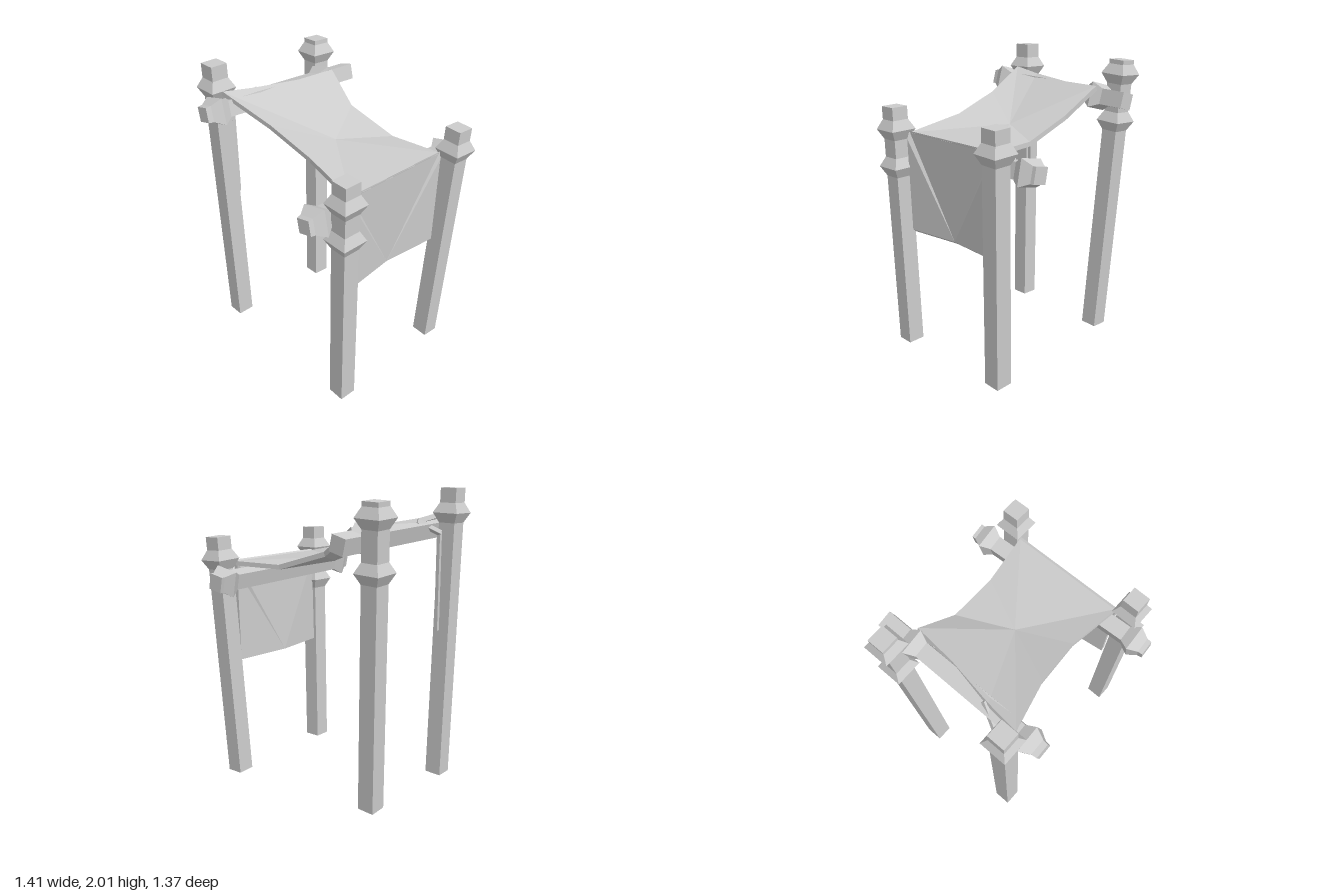
import * as THREE from 'three';

const V = (x, y, z) => new THREE.Vector3(x, y, z);
const material = new THREE.MeshStandardMaterial({ color: 0xcccccc, flatShading: true });

// Square bar from a to b with pyramid-like collars at given distances along it
function bar(name, a, b, half, collars, { ridge = 0.09, reach = 0.065, tip = half, roll = 0 } = {}) {
  const dir = b.clone().sub(a);
  const length = dir.length();
  const profile = [[0, 0], [half, 0]];
  for (const d of collars) profile.push([half, d - reach], [ridge, d], [half, d + reach]);
  profile.push([tip, length], [0, length]);
  const points = profile.map(([h, y]) => new THREE.Vector2(h * Math.SQRT2, y));
  const mesh = new THREE.Mesh(new THREE.LatheGeometry(points, 4, Math.PI / 4 + roll), material);
  mesh.name = name;
  mesh.position.copy(a);
  mesh.quaternion.setFromUnitVectors(V(0, 1, 0), dir.normalize());
  return mesh;
}

// Thick sheet: fan from a hub to an outline, copied by an offset and closed at the rim
function sheet(name, outline, hub, offset) {
  const pos = [];
  const tri = (...corners) => corners.forEach((p) => pos.push(p.x, p.y, p.z));
  const low = (p) => p.clone().add(offset);
  outline.forEach((a, i) => {
    const b = outline[(i + 1) % outline.length];
    if (a !== hub && b !== hub) {
      tri(hub, a, b);
      tri(low(hub), low(b), low(a));
    }
    tri(a, low(a), low(b));
    tri(a, low(b), b);
  });
  const geometry = new THREE.BufferGeometry();
  geometry.setAttribute('position', new THREE.Float32BufferAttribute(pos, 3));
  geometry.computeVertexNormals();
  const mesh = new THREE.Mesh(geometry, material);
  mesh.name = name;
  return mesh;
}

export function createModel() {
  const group = new THREE.Group();

  // Four leaning posts
  const posts = [
    ['frontRightPost', V(-0.567, 0, 0.445), V(-0.602, 2, 0.462), [1.84]],
    ['backRightPost', V(-0.54, 0, -0.31), V(-0.622, 1.95, -0.405), [1.54, 1.86]],
    ['frontLeftPost', V(0.583, 0, 0.445), V(0.62, 1.68, 0.462), [1.28, 1.53]],
    ['backLeftPost', V(0.55, 0, -0.43), V(0.617, 1.68, -0.5), [1.53]],
  ];
  for (const [name, a, b, collars] of posts) group.add(bar(name, a, b, 0.058, collars));

  // Two side beams with a knob near each end
  const beam = { ridge: 0.085, roll: 0.25, tip: 0.048 };
  group.add(bar('rightBeam', V(-0.475, 1.705, -0.57), V(-0.48, 1.745, 0.65), 0.052, [0.24, 1.12], beam));
  group.add(bar('leftBeam', V(0.445, 1.405, -0.685), V(0.51, 1.42, 0.68), 0.052, [0.09, 1.27], beam));

  // Sagging cloth roof
  const roof = [
    V(-0.51, 1.84, 0.475), V(-0.16, 1.7, 0.375), V(0.18, 1.59, 0.34), V(0.57, 1.51, 0.38),
    V(0.56, 1.51, -0.41), V(0.2, 1.51, -0.355), V(-0.16, 1.62, -0.32), V(-0.41, 1.79, -0.365),
    V(-0.43, 1.79, -0.08), V(-0.485, 1.81, 0.25),
  ];
  group.add(sheet('clothRoof', roof, V(0.03, 1.545, 0), V(-0.01, -0.03, 0)));

  // Hanging side cloth, its lower edge pulled inwards
  const fold = V(0.525, 0.84, 0);
  const side = [
    V(0.575, 0.84, 0.38), fold, V(0.555, 0.84, -0.405),
    V(0.57, 1.47, -0.405), V(0.56, 1.52, -0.405), V(0.57, 1.52, 0.38), V(0.59, 1.47, 0.38),
  ];
  group.add(sheet('sideCloth', side, fold, V(-0.025, -0.02, 0)));

  // Loose strip hanging against the front post
  group.add(bar('looseStrip', V(-0.56, 1.05, 0.385), V(-0.56, 1.72, 0.38), 0.012, []));
  group.add(bar('stripTie', V(-0.565, 1.71, 0.38), V(-0.485, 1.79, 0.22), 0.015, []));

  return group;
}
